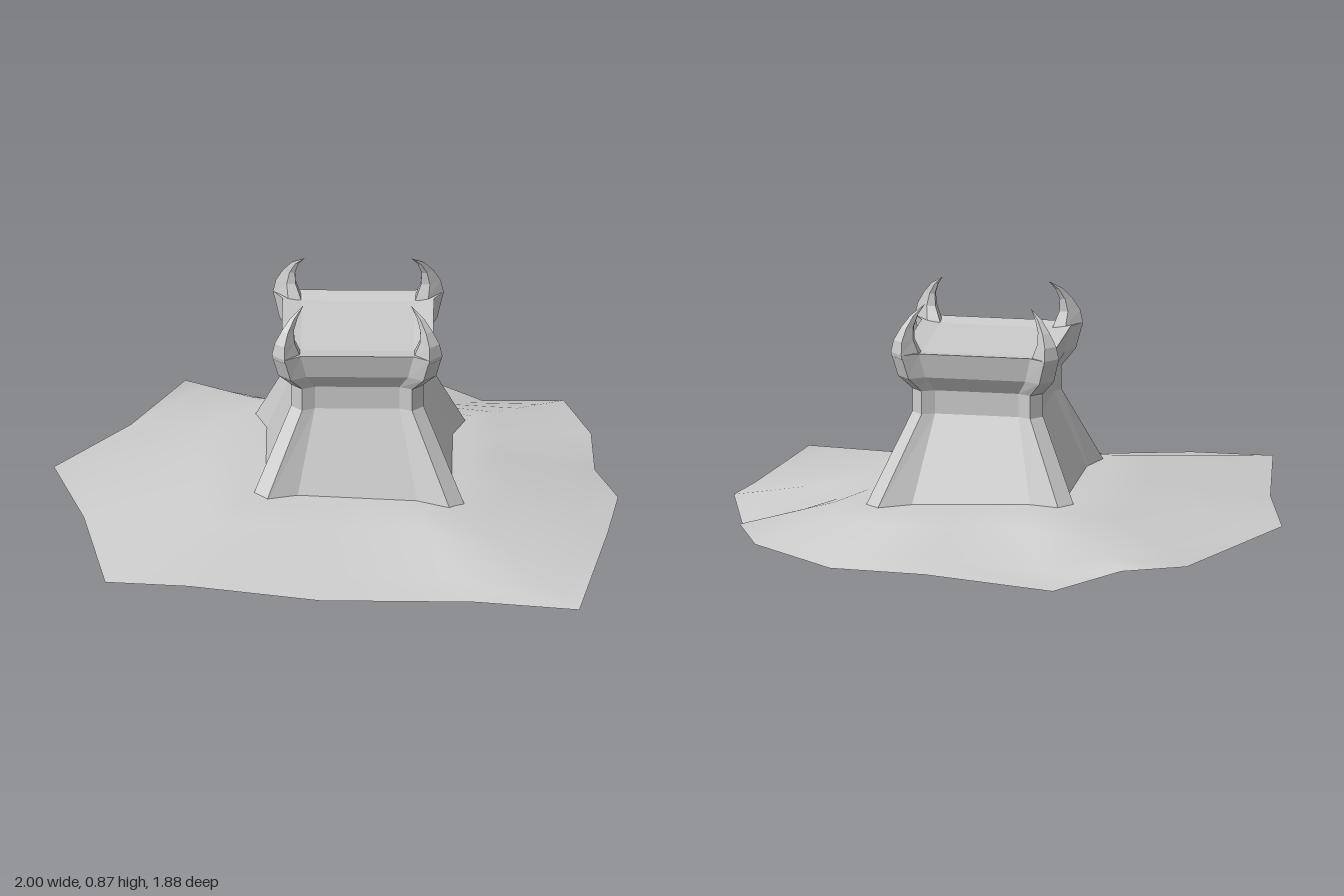
import * as THREE from 'three';

// Surface through a stack of closed rings, each a list of [x, y, z]
function loft(rings) {
  const pos = [];
  for (let j = 0; j < rings.length - 1; j++) {
    const lo = rings[j], hi = rings[j + 1], n = lo.length;
    for (let i = 0; i < n; i++) {
      const k = (i + 1) % n;
      pos.push(...lo[i], ...hi[i], ...lo[k], ...lo[k], ...hi[i], ...hi[k]);
    }
  }
  const geo = new THREE.BufferGeometry();
  geo.setAttribute('position', new THREE.Float32BufferAttribute(pos, 3));
  geo.computeVertexNormals();
  return geo;
}

// Square ring with a chamfered rib at each corner:
// y height, c rib reach, w wall distance, r where the rib meets the wall, k chamfer
function ribbedRing([y, c, w, r, k]) {
  const ring = [];
  let quarter = [[w, r], [c, c - k], [c - k, c], [r, w]];
  for (let q = 0; q < 4; q++) {
    quarter.forEach(([x, z]) => ring.push([x, y, z]));
    quarter = quarter.map(([x, z]) => [-z, x]);
  }
  return ring;
}

// Horn section reaching from a (inside) to c (outside) on the corner diagonal
function hornRing([y, a, c, k]) {
  const m = a + (c - a) * 0.45;
  return [[c, c - k], [c - k, c], [a, m], [a, a], [m, a]].map(([x, z]) => [x, y, z]);
}

// Hill: smooth sheet falling from a plateau to an uneven rim
function hillGeometry() {
  const rim = [
    [-1, 0.09, -0.085], [-0.73, 0.045, -0.52], [-0.54, 0.09, -0.785], [-0.29, 0, -0.765],
    [0.14, 0.09, -0.945], [0.515, 0.04, -0.73], [0.8, 0.09, -0.635], [0.9, 0.09, -0.37],
    [0.915, 0.03, -0.2], [1, 0.07, 0.1], [0.965, 0.05, 0.35], [0.87, 0.035, 0.935],
    [0.495, 0.01, 0.825], [-0.05, 0.045, 0.89], [-0.515, 0.09, 0.87], [-0.81, 0.095, 0.85],
    [-0.89, 0.09, 0.32],
  ];
  const cx = 0.077, n = rim.length, steps = 4;
  const pos = [cx, 0.185, 0.015], index = [];
  const top = rim.map(([x, , z]) => {
    const s = 0.4 / Math.max(Math.abs(x - cx), Math.abs(z));
    const px = cx + (x - cx) * s;
    return [px, 0.185 - 0.04 * px, z * s];
  });
  for (let j = 0; j <= steps; j++) {
    for (let i = 0; i < n; i++) {
      for (let d = 0; d < 3; d++) pos.push(THREE.MathUtils.lerp(top[i][d], rim[i][d], j / steps));
    }
  }
  for (let i = 0; i < n; i++) {
    const k = (i + 1) % n;
    index.push(0, 1 + k, 1 + i);
    for (let j = 0; j < steps; j++) {
      const a = 1 + j * n + i, b = 1 + j * n + k;
      index.push(a, b, a + n, b, b + n, a + n);
    }
  }
  const geo = new THREE.BufferGeometry();
  geo.setAttribute('position', new THREE.Float32BufferAttribute(pos, 3));
  geo.setIndex(index);
  geo.computeVertexNormals();
  return geo;
}

export function createModel() {
  const model = new THREE.Group();
  const stone = new THREE.MeshStandardMaterial({ color: 0xcccccc, side: THREE.DoubleSide });
  stone.name = 'grey stone';

  const add = (parent, name, geo) => {
    const mesh = new THREE.Mesh(geo, stone);
    mesh.name = name;
    parent.add(mesh);
    return mesh;
  };

  add(model, 'hill', hillGeometry());

  const tower = new THREE.Group();
  tower.name = 'tower';
  tower.position.set(0.077, 0, 0.015);
  model.add(tower);

  // Flared shaft and narrow neck
  add(tower, 'shaft', loft([
    [0.14, 0.39, 0.345, 0.22, 0.05],
    [0.48, 0.235, 0.215, 0.15, 0.04],
    [0.57, 0.235, 0.215, 0.15, 0.04],
  ].map(ribbedRing)));

  // Overhanging crown and its shallow deck
  add(tower, 'crown', loft([
    [0.565, 0.235, 0.215, 0.15, 0.04],
    [0.62, 0.28, 0.25, 0.18, 0.045],
    [0.71, 0.302, 0.268, 0.2, 0.045],
    [0.7, 0.2, 0.2, 0.19, 0.01],
    [0.7, 0, 0, 0, 0],
  ].map(ribbedRing)));

  // Inward curving horn on each corner
  const horn = loft([
    [0.695, 0.2, 0.3, 0.045],
    [0.71, 0.205, 0.302, 0.045],
    [0.755, 0.222, 0.292, 0.035],
    [0.8, 0.224, 0.267, 0.022],
    [0.84, 0.211, 0.236, 0.012],
    [0.873, 0.19, 0.19, 0],
  ].map(hornRing));
  for (let i = 0; i < 4; i++) add(tower, 'cornerHorn', horn).rotation.y = i * Math.PI / 2;

  return model;
}
